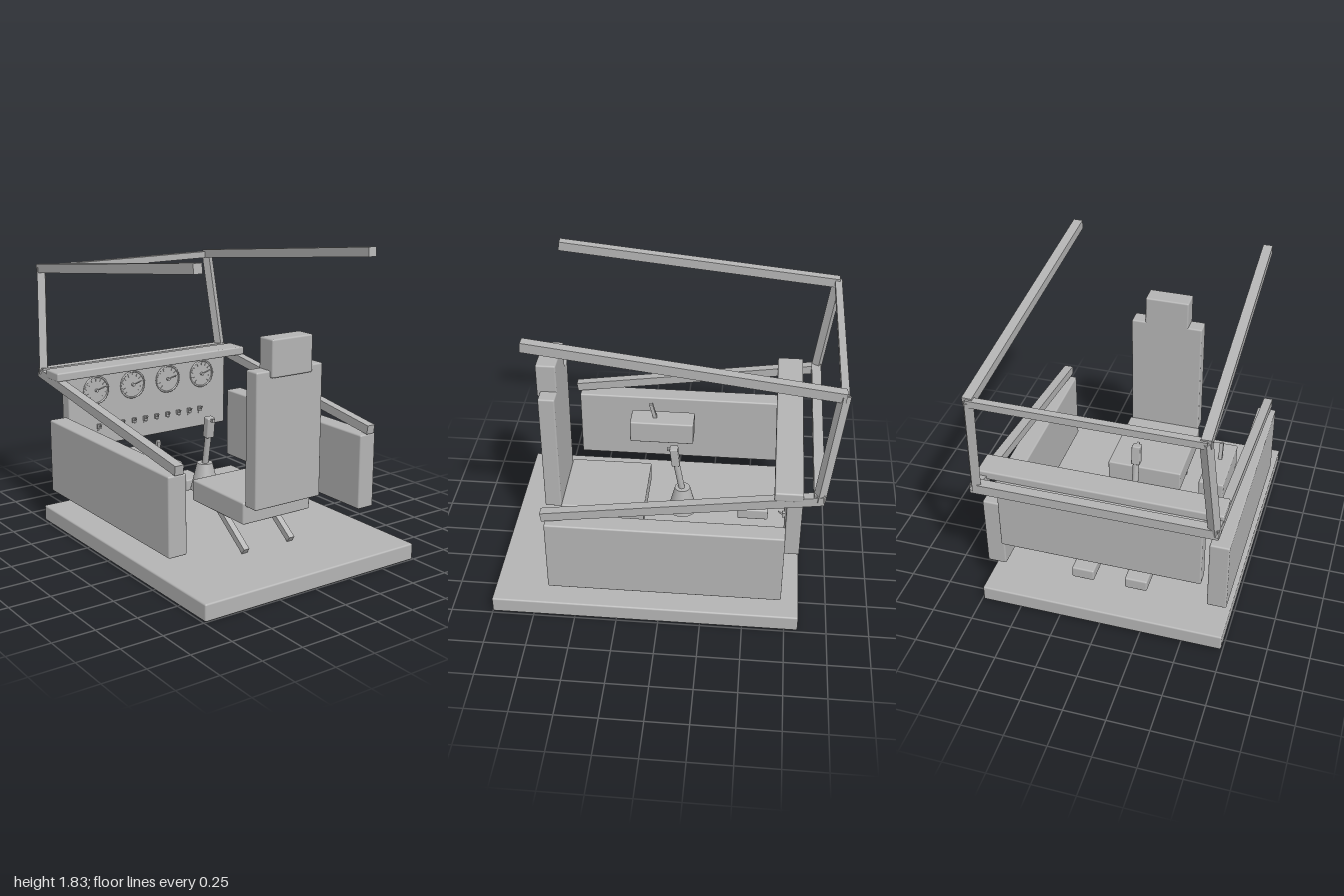
import * as THREE from 'three';
import { RoundedBoxGeometry } from 'three/addons/geometries/RoundedBoxGeometry.js';

const grey = new THREE.MeshStandardMaterial({ color: 0xb4b4b4 });
grey.name = 'plain grey';

export function createModel() {
  const model = new THREE.Group();

  const add = (name, geometry, x, y, z, parent = model) => {
    const mesh = new THREE.Mesh(geometry, grey);
    mesh.name = name;
    mesh.position.set(x, y, z);
    parent.add(mesh);
    return mesh;
  };

  // Soft-edged block given by its extents on each axis
  const block = (name, [x0, x1], [y0, y1], [z0, z1], r = 0.01) =>
    add(name, new RoundedBoxGeometry(x1 - x0, y1 - y0, z1 - z0, 2, r),
      (x0 + x1) / 2, (y0 + y1) / 2, (z0 + z1) / 2);

  // Square bar running from a to b
  const bar = (name, a, b, w, h = w) => {
    const p = new THREE.Vector3(...a), q = new THREE.Vector3(...b);
    const mid = p.clone().add(q).multiplyScalar(0.5);
    const mesh = add(name, new THREE.BoxGeometry(w, h, p.distanceTo(q)), mid.x, mid.y, mid.z);
    mesh.lookAt(q);
    return mesh;
  };

  // Floor and instrument panel
  block('floor', [-0.74, 0.74], [0, 0.1], [-0.83, 1]);
  block('instrumentPanel', [-0.6, 0.6], [0.47, 0.95], [-0.81, -0.72]);
  block('glareShield', [-0.71, 0.71], [0.945, 1], [-0.805, -0.645]);

  // Seat
  block('seatCushion', [-0.24, 0.24], [0.315, 0.445], [0.135, 0.645]);
  block('seatBack', [-0.23, 0.23], [0.425, 1.21], [0.645, 0.745]);
  block('headrest', [-0.14, 0.14], [1.17, 1.385], [0.645, 0.765]);

  // Parts mirrored on both sides
  for (const s of [-1, 1]) {
    const side = s > 0 ? 'left' : 'right';
    const span = (a, b) => (s > 0 ? [a, b] : [-b, -a]);
    block(side + 'SidePanel', span(0.62, 0.737), [0.23, 0.695], [-0.72, 0.65]);
    block(side + 'Pedal', span(0.097, 0.235), [0.14, 0.215], [-0.63, -0.435]);
    bar(side + 'SeatLeg', [s * 0.165, 0.117, 0.57], [s * 0.165, 0.335, 0.27], 0.038);
    bar(side + 'LowerRail', [s * 0.68, 0.728, 0.67], [s * 0.68, 0.958, -0.915], 0.055);
    bar(side + 'Post', [s * 0.68, 0.95, -0.89], [s * 0.63, 1.61, -0.975], 0.05);
    bar(side + 'RoofRail', [s * 0.595, 1.798, 0.725], [s * 0.632, 1.605, -0.985], 0.056);
  }
  bar('upperCrossBar', [-0.64, 1.602, -0.978], [0.64, 1.602, -0.978], 0.042);
  bar('lowerCrossBar', [-0.7, 0.96, -0.89], [0.7, 0.96, -0.89], 0.06);

  // Side console with lever
  block('sideConsole', [-0.566, -0.413], [0.48, 0.632], [-0.12, 0.295]);
  bar('consoleLever', [-0.49, 0.61, 0.13], [-0.49, 0.733, 0.162], 0.023);

  // Control stick
  add('stickBoot', new THREE.CylinderGeometry(0.048, 0.09, 0.17, 24), 0, 0.365, -0.085);
  const shaft = add('stickShaft', new THREE.CylinderGeometry(0.02, 0.02, 0.24, 16), 0, 0.545, -0.062);
  shaft.rotation.x = 0.18;
  const grip = add('stickGrip', new RoundedBoxGeometry(0.055, 0.13, 0.05, 2, 0.008), 0, 0.688, -0.037);
  grip.rotation.x = 0.12;
  add('gripButton', new THREE.BoxGeometry(0.018, 0.018, 0.02), 0, 0.738, 0.002);

  // Round gauges with rim, tick marks, hub and needle
  for (let i = 0; i < 4; i++) {
    const gauge = new THREE.Group();
    gauge.name = 'gauge';
    gauge.position.set(-0.405 + i * 0.27, 0.838, -0.718);
    add('gaugeFace', new THREE.CylinderGeometry(0.086, 0.086, 0.008, 32), 0, 0, 0, gauge).rotation.x = Math.PI / 2;
    add('gaugeRim', new THREE.TorusGeometry(0.087, 0.006, 8, 32), 0, 0, 0.004, gauge);
    for (let k = 0; k < 11; k++) {
      const a = -Math.PI / 4 + k * 0.15 * Math.PI;
      const tick = add('tick', new THREE.BoxGeometry(0.016, 0.004, 0.004),
        0.066 * Math.cos(a), 0.066 * Math.sin(a), 0.006, gauge);
      tick.rotation.z = a;
    }
    const needle = add('needle', new THREE.BoxGeometry(0.065, 0.006, 0.005), 0.032, 0.009, 0.014, gauge);
    needle.rotation.z = 0.27;
    add('needleHub', new THREE.CylinderGeometry(0.01, 0.01, 0.02, 16), 0, 0, 0.012, gauge).rotation.x = Math.PI / 2;
    model.add(gauge);
  }

  // Row of toggle switches
  for (let i = 0; i < 10; i++) {
    const toggle = new THREE.Group();
    toggle.name = 'toggleSwitch';
    toggle.position.set(-0.39 + i * 0.0867, 0.597, -0.715);
    add('switchBase', new THREE.BoxGeometry(0.026, 0.03, 0.022), 0, 0, 0, toggle);
    add('switchLever', new THREE.CylinderGeometry(0.005, 0.005, 0.035, 8), 0, 0.008, 0.02, toggle).rotation.x = 0.9;
    add('switchPlate', new THREE.BoxGeometry(0.018, 0.008, 0.006), 0, -0.028, -0.004, toggle);
    model.add(toggle);
  }

  return model;
}
